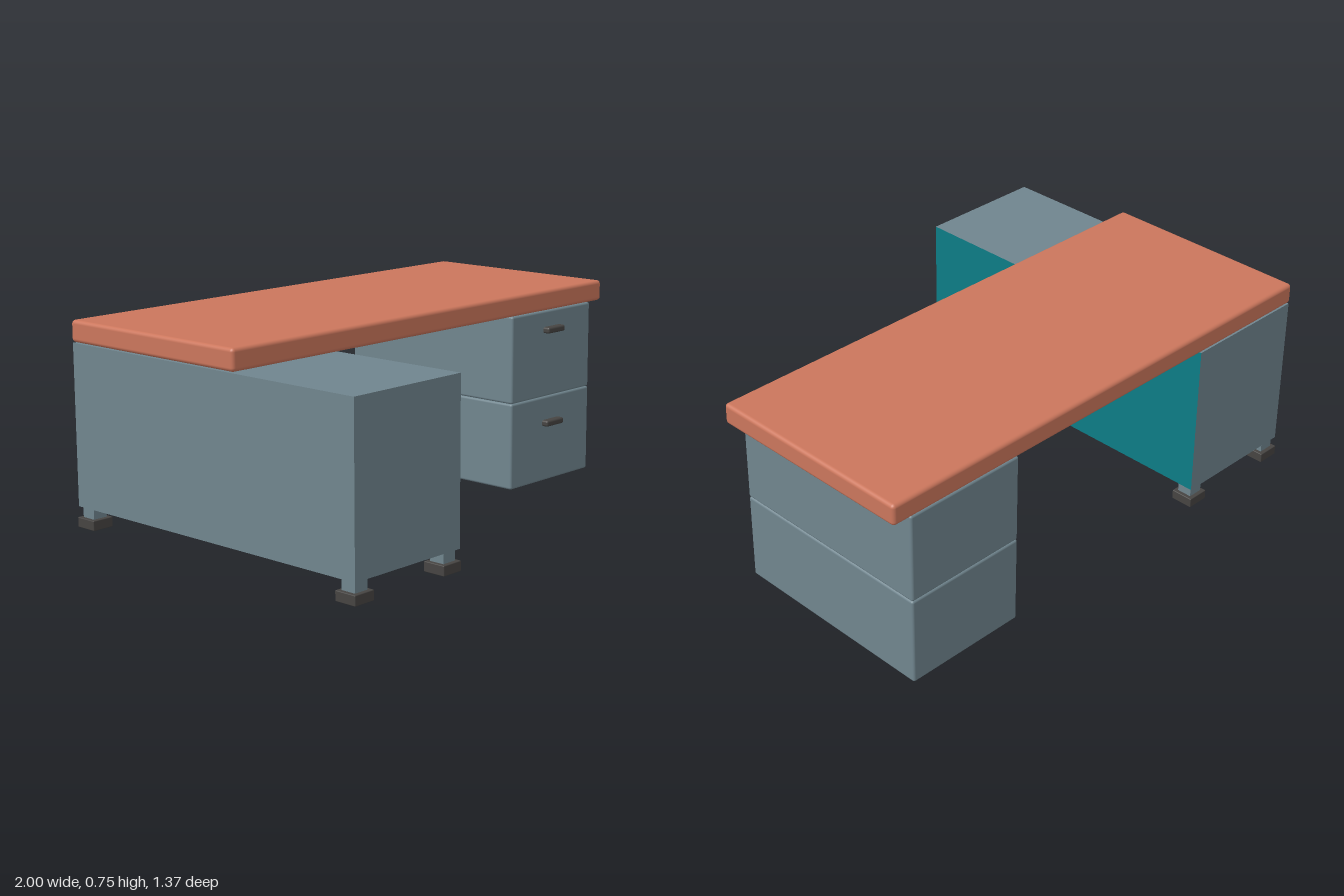
import * as THREE from 'three';
import { RoundedBoxGeometry } from 'three/addons/geometries/RoundedBoxGeometry.js';

const material = (name, color) => {
  const m = new THREE.MeshStandardMaterial({ color });
  m.name = name;
  return m;
};

export function createModel() {
  const desk = new THREE.Group();
  desk.name = 'desk';

  const wood = material('terracotta top', 0xcb765c);
  const grey = material('slate grey', 0x70858e);
  const teal = material('teal panel', 0x0d7c85);
  const dark = material('dark fittings', 0x464442);

  // Box from its limits on each axis, with rounded edges when radius is given
  const block = (name, mat, [x0, x1], [y0, y1], [z0, z1], radius = 0, parent = desk) => {
    const size = [x1 - x0, y1 - y0, z1 - z0];
    const geometry = radius
      ? new RoundedBoxGeometry(...size, 3, radius)
      : new THREE.BoxGeometry(...size);
    const mesh = new THREE.Mesh(geometry, mat);
    mesh.name = name;
    mesh.position.set((x0 + x1) / 2, (y0 + y1) / 2, (z0 + z1) / 2);
    parent.add(mesh);
    return mesh;
  };

  block('tabletop', wood, [-1, 1], [0.675, 0.755], [-0.683, 0.147], 0.014);

  // Long side cabinet, with a teal inner face towards the seat
  block('sideCabinet', [teal, grey, grey, grey, grey, grey],
    [-0.995, -0.49], [0.077, 0.672], [-0.68, 0.682]);

  // Four short legs on square feet
  for (const x of [-0.955, -0.531]) {
    for (const z of [-0.64, 0.642]) {
      const leg = new THREE.Group();
      leg.name = 'cabinetLeg';
      leg.position.set(x, 0, z);
      desk.add(leg);
      block('legPost', grey, [-0.029, 0.029], [0.03, 0.08], [-0.029, 0.029], 0, leg);
      block('legFoot', dark, [-0.044, 0.044], [0, 0.037], [-0.044, 0.044], 0.003, leg);
    }
  }

  // Drawer pedestal: two stacked drawers with handles
  const drawers = [
    { y: [0, 0.337], handle: 0.233 },
    { y: [0.337, 0.676], handle: 0.601 },
  ];
  for (const { y, handle } of drawers) {
    block('drawer', grey, [0.44, 0.925], y, [-0.681, 0.148], 0.009);
    block('drawerHandle', dark, [0.63, 0.734], [handle - 0.012, handle + 0.012], [0.135, 0.175], 0.008);
  }

  return desk;
}
